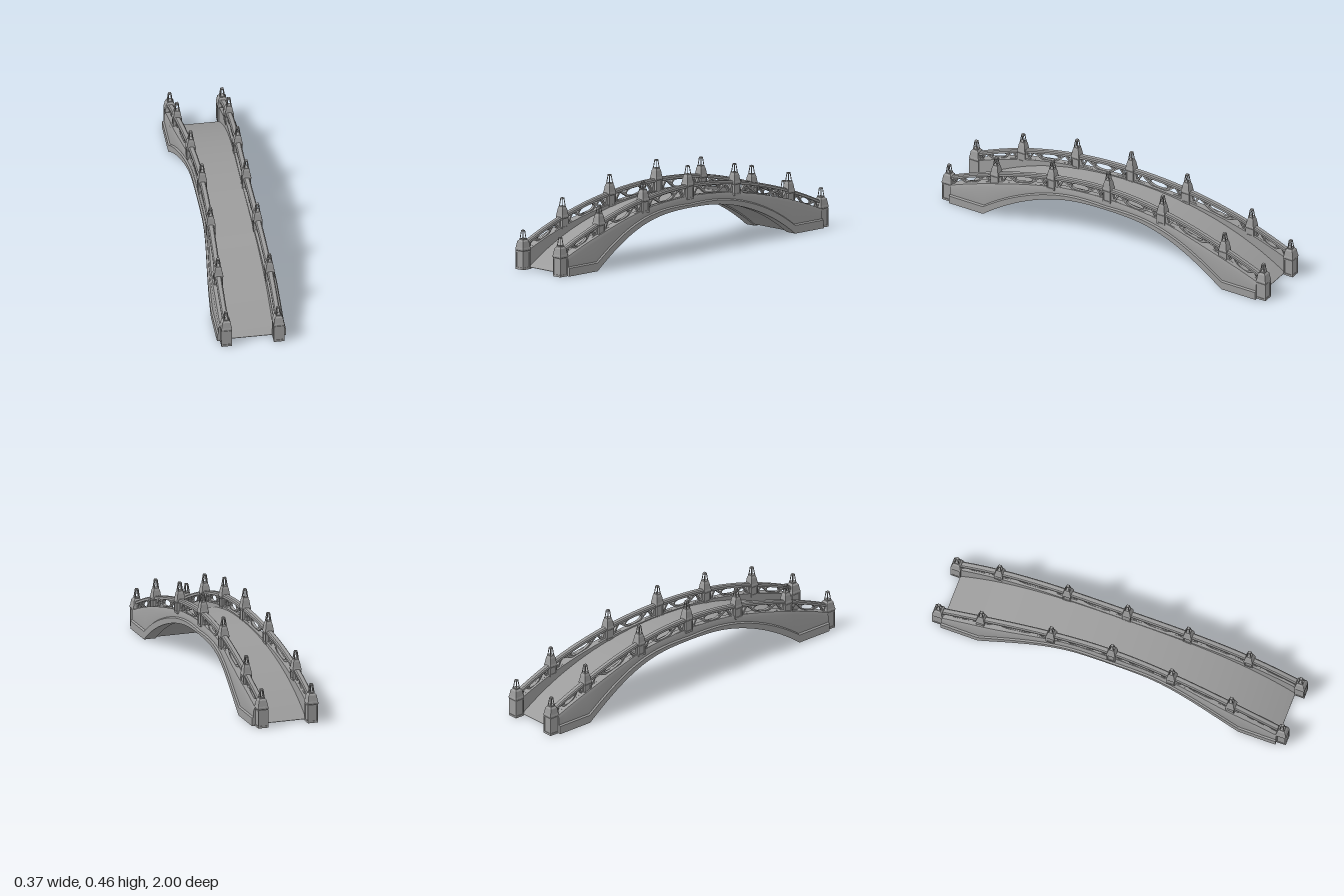
import * as THREE from 'three';
import { toCreasedNormals } from 'three/addons/utils/BufferGeometryUtils.js';

const END = 0.945, FOOT = 0.735, DECK_RADIUS = 1.735;
const stone = new THREE.MeshStandardMaterial({ color: 0x9c9c9c });
const flat = new THREE.MeshStandardMaterial({ color: 0x9c9c9c, flatShading: true });

// Curves of the bridge as functions of z
const deckY = z => 0.29 - DECK_RADIUS + Math.sqrt(DECK_RADIUS ** 2 - z * z);
const curbY = z => 0.295 - 0.215 * z * z;
const railY = z => 0.36 - 0.235 * z * z;
const soffitY = z => 0.237 * Math.max(0, 1 - (Math.abs(z) / FOOT) ** 2.4);
const lineX = z => 0.118 + 0.022 * THREE.MathUtils.smoothstep(Math.abs(z), 0, 0.85);
const innerX = z => lineX(z) - 0.02;
const outerX = z => 0.145 + 0.039 * THREE.MathUtils.smoothstep(Math.abs(z), 0.17, 0.73);

// z stations, with a break where the arch meets the ground
const stations = [];
for (let i = 0; i < 6; i++) stations.push(-END + (END - FOOT) * i / 6);
for (let i = 0; i < 48; i++) stations.push(-FOOT + 2 * FOOT * i / 48);
for (let i = 0; i <= 6; i++) stations.push(FOOT + (END - FOOT) * i / 6);

function add(parent, name, geometry, material = stone) {
  const mesh = new THREE.Mesh(geometry, material);
  mesh.name = name;
  parent.add(mesh);
  return mesh;
}

// Sweeps an anticlockwise [x, y] section along z and closes both ends
function loft(section, side = 1) {
  const rings = stations.map(z => {
    const r = section(z).map(([x, y]) => [x * side, y]);
    return side < 0 ? r.reverse() : r;
  });
  const n = rings[0].length, last = rings.length - 1, pos = [], idx = [];
  rings.forEach((r, i) => r.forEach(([x, y]) => pos.push(x, y, stations[i])));
  for (let i = 0; i < last; i++) {
    for (let j = 0; j < n; j++) {
      const a = i * n + j, b = i * n + (j + 1) % n;
      idx.push(a, b, b + n, a, b + n, a + n);
    }
  }
  for (const end of [0, last]) {
    const pts = rings[end].map(p => new THREE.Vector2(...p));
    for (const [a, b, c] of THREE.ShapeUtils.triangulateShape(pts, [])) {
      const o = end * n;
      if (end) idx.push(o + a, o + b, o + c);
      else idx.push(o + a, o + c, o + b);
    }
  }
  const g = new THREE.BufferGeometry();
  g.setAttribute('position', new THREE.Float32BufferAttribute(pos, 3));
  g.setIndex(idx);
  return toCreasedNormals(g, 0.4);
}

// Side wall with a projecting trim along the lower edge
function wallSection(z) {
  const xi = innerX(z), xo = outerX(z), b = soffitY(z), t = curbY(z);
  const trim = 0.02 + 0.03 * Math.min(1, Math.abs(z) / FOOT);
  return [[xi, b], [xo, b], [xo, b + trim - 0.006], [xo - 0.009, b + trim],
    [xo - 0.009, t - 0.018], [xo - 0.016, t], [xi, t]];
}

// Handrail with chamfered top
function railSection(z) {
  const x = lineX(z), t = railY(z), w = 0.016;
  return [[x - w, t - 0.018], [x + w, t - 0.018], [x + w, t - 0.006], [x + w - 0.006, t],
    [x - w + 0.006, t], [x - w, t - 0.006]];
}

// Curved triangle hole, with sides bowed by the given amount
function curvedTriangle(a, b, c, bow) {
  const p = new THREE.Path();
  p.moveTo(...a);
  p.quadraticCurveTo((a[0] + b[0]) / 2 + bow, (a[1] + b[1]) / 2, ...b);
  p.lineTo(...c);
  p.quadraticCurveTo((a[0] + c[0]) / 2 + bow, (a[1] + c[1]) / 2, ...a);
  return p;
}

// Pierced panel between two posts, bent to follow the bridge
function panel(z0, z1, side) {
  const len = z1 - z0, m = (z0 + z1) / 2, h = len / 2, N = 16, pts = [];
  for (let i = 0; i <= N; i++) pts.push(new THREE.Vector2(z0 + len * i / N, 0));
  for (let i = N; i >= 0; i--) pts.push(new THREE.Vector2(z0 + len * i / N, 1));
  const shape = new THREE.Shape(pts);
  shape.holes.push(new THREE.Path().absellipse(m, 0.5, h * 0.36, 0.36, 0, Math.PI * 2));
  for (const s of [-1, 1]) {
    const at = (u, v) => [m + s * h * u, v];
    shape.holes.push(
      curvedTriangle(at(0.44, 0.55), at(0.27, 0.9), at(0.56, 0.9), s * h * 0.02),
      curvedTriangle(at(0.66, 0.8), at(0.3, 0.1), at(0.83, 0.1), s * h * 0.02),
      curvedTriangle(at(0.88, 0.2), at(0.74, 0.9), at(0.95, 0.9), -s * h * 0.01));
  }
  const depth = 0.016;
  const g = new THREE.ExtrudeGeometry(shape, { depth, bevelEnabled: false, curveSegments: 8 });
  const p = g.attributes.position;
  for (let i = 0; i < p.count; i++) {
    const z = p.getX(i), lo = curbY(z) - 0.003, hi = railY(z) - 0.012;
    p.setXYZ(i, side * lineX(z) + depth / 2 - p.getZ(i), lo + (hi - lo) * p.getY(i), z);
  }
  return toCreasedNormals(g, 0.5);
}

// Square turned piece from [half width, y] pairs, listed upwards
function squareLathe(profile) {
  const pts = profile.map(([r, y]) => new THREE.Vector2(r * Math.SQRT2, y));
  return new THREE.LatheGeometry(pts, 4, Math.PI / 4);
}

// Post of half width w with framed faces, a tapered block and an open finial
function makePost(base, top, w) {
  const post = new THREE.Group();
  post.name = 'post';
  const neck = top - 0.11, core = w - 0.003;
  add(post, 'postBody', squareLathe([[0, base], [core, base], [core, neck], [w + 0.001, neck + 0.003],
    [w + 0.001, neck + 0.012], [w - 0.001, neck + 0.018], [w - 0.006, top - 0.06],
    [0.014, top - 0.051], [0.014, top - 0.045], [0, top - 0.045]]), flat);

  // Raised frame on each face
  const h = neck - base, i = 0.007;
  const corners = (x, y0, y1) => [[-x, y0], [x, y0], [x, y1], [-x, y1]].map(p => new THREE.Vector2(...p));
  const frame = new THREE.Shape(corners(w, 0, h));
  frame.holes.push(new THREE.Path(corners(w - i, i + 0.004, h - i)));
  const frameGeo = new THREE.ExtrudeGeometry(frame, { depth: 0.003, bevelEnabled: false });
  frameGeo.translate(0, 0, core);
  for (let k = 0; k < 4; k++) {
    const f = add(post, 'postFrame', frameGeo, flat);
    f.position.y = base;
    f.rotation.y = k * Math.PI / 2;
  }

  // Finial: four leaning legs under a small cap
  for (const sx of [-1, 1]) for (const sz of [-1, 1]) {
    const path = new THREE.LineCurve3(
      new THREE.Vector3(sx * 0.011, top - 0.046, sz * 0.011),
      new THREE.Vector3(sx * 0.006, top - 0.004, sz * 0.006));
    add(post, 'finialLeg', new THREE.TubeGeometry(path, 1, 0.003, 4), flat);
  }
  add(post, 'finialCap', squareLathe([[0, top - 0.008], [0.0085, top - 0.008], [0.007, top], [0, top]]), flat);
  return post;
}

export function createModel() {
  const bridge = new THREE.Group();
  bridge.name = 'archedBridge';

  // Deck slab with its recessed soffit
  add(bridge, 'deck', loft(z => {
    const x = innerX(z) + 0.004, b = soffitY(z) + 0.008;
    return [[-x, b], [x, b], [x, deckY(z)], [-x, deckY(z)]];
  }));

  // Posts as [z, top height]
  const posts = [[-0.97, 0.21], [-0.73, 0.325], [-0.34, 0.425], [0, 0.46],
    [0.34, 0.425], [0.68, 0.345], [0.97, 0.21]];

  for (const side of [1, -1]) {
    const half = new THREE.Group();
    half.name = side > 0 ? 'leftSide' : 'rightSide';
    bridge.add(half);
    add(half, 'sideWall', loft(wallSection, side));
    add(half, 'handrail', loft(railSection, side));
    posts.forEach(([z, top], i) => {
      const atEnd = Math.abs(z) > 0.9;
      const post = makePost(atEnd ? 0 : curbY(z) - 0.015, top, atEnd ? 0.028 : 0.0235);
      post.position.set(side * lineX(z), 0, z);
      half.add(post);
      if (i) add(half, 'piercedPanel', panel(posts[i - 1][0] + 0.02, z - 0.02, side));
    });
  }
  return bridge;
}
